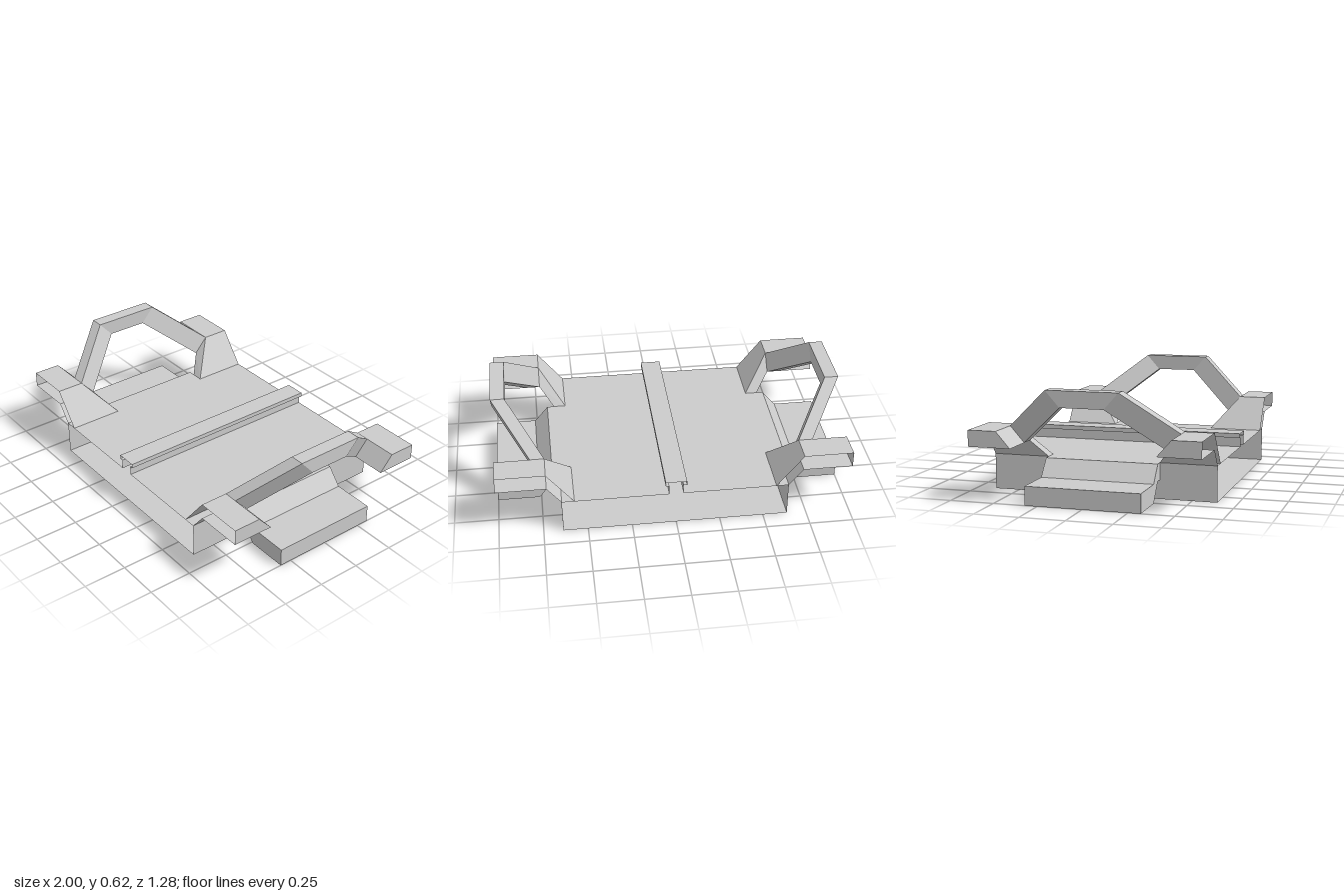
import * as THREE from 'three';

const sheet = new THREE.MeshStandardMaterial({ color: 0xcccccc, flatShading: true, side: THREE.DoubleSide });
const solid = new THREE.MeshStandardMaterial({ color: 0xcccccc, flatShading: true });

// Flat-shaded surface from four-cornered panels, mirrored by the signs sx and sz
function panels(name, quads, sx = 1, sz = 1) {
  const pos = [];
  for (const q of quads) {
    const order = sx * sz > 0 ? [0, 1, 2, 0, 2, 3] : [0, 2, 1, 0, 3, 2];
    for (const i of order) pos.push(q[i][0] * sx, q[i][1], q[i][2] * sz);
  }
  const geo = new THREE.BufferGeometry();
  geo.setAttribute('position', new THREE.Float32BufferAttribute(pos, 3));
  geo.computeVertexNormals();
  const mesh = new THREE.Mesh(geo, sheet);
  mesh.name = name;
  return mesh;
}

// Panels joining consecutive closed cross-sections, ends left open
function loft(rings) {
  const quads = [];
  for (let r = 0; r + 1 < rings.length; r++) {
    const a = rings[r], b = rings[r + 1], n = a.length;
    for (let i = 0; i < n; i++) {
      const j = (i + 1) % n;
      quads.push([a[i], b[i], b[j], a[j]]);
    }
  }
  return quads;
}

// Hollow tray with the raised centre rail, open at front and back
function makeTray() {
  const half = [[0.64, 0], [0.64, 0.2], [0.04, 0.2], [0.04, 0.255], [0.06, 0.255], [0.06, 0.28]];
  const profile = [...half, ...half.map(([x, y]) => [-x, y]).reverse()];
  const ring = z => profile.map(([x, y]) => [x, y, z]);
  return panels('deckTray', loft([ring(0.64), ring(-0.64)]));
}

// Raised guard bar on one side
function makeGuard(sx) {
  const ring = (x, top, bottom, zTop, zBottom) => [
    [x, top, zTop], [x + 0.08, top, zTop], [x + 0.08, bottom, zBottom], [x, bottom, zBottom],
  ];
  return panels('sideGuard', loft([
    ring(0.72, 0.39, 0.3, 0.48, 0.4),
    ring(0.92, 0.62, 0.53, 0.2, 0.12),
    ring(0.92, 0.62, 0.53, -0.2, -0.12),
    ring(0.72, 0.39, 0.3, -0.48, -0.4),
  ]), sx);
}

// Corner bracket rising from the deck into a level arm, open at its outer z end
function makeArm(sx, sz) {
  const top = (x, z) => [x, 0.39, z];
  const low = (x, z) => [x, 0.3, z];
  const foot = (x, z) => [x, 0.2, z];
  return panels('cornerArm', [
    // bracket: upper slope, lower slope, inner side
    [foot(0.57, 0.64), top(0.72, 0.64), top(0.72, 0.48), foot(0.57, 0.32)],
    [foot(0.64, 0.64), foot(0.64, 0.32), low(0.72, 0.4), low(0.72, 0.64)],
    [foot(0.57, 0.32), top(0.72, 0.48), low(0.72, 0.4), foot(0.64, 0.32)],
    // arm: top, underside, inner slope, end
    [top(0.72, 0.64), top(1, 0.64), top(1, 0.48), top(0.72, 0.48)],
    [low(0.72, 0.64), low(0.72, 0.4), low(1, 0.4), low(1, 0.64)],
    [top(0.8, 0.48), top(1, 0.48), low(1, 0.4), low(0.8, 0.4)],
    [top(1, 0.64), low(1, 0.64), low(1, 0.4), top(1, 0.48)],
  ], sx, sz);
}

// Stepped side board
function makeSideStep(sx) {
  const profile = [[0.64, 0.105], [0.68, 0.105], [0.76, 0], [1, 0], [1, 0.105], [0.76, 0.105], [0.68, 0.2], [0.64, 0.2]];
  const shape = new THREE.Shape(profile.map(([x, y]) => new THREE.Vector2(x * sx, y)));
  const geo = new THREE.ExtrudeGeometry(shape, { depth: 0.64, bevelEnabled: false });
  geo.translate(0, 0, -0.32);
  const mesh = new THREE.Mesh(geo, solid);
  mesh.name = 'sideStep';
  return mesh;
}

export function createModel() {
  const model = new THREE.Group();
  model.name = 'deckModule';
  model.add(makeTray());
  for (const sx of [1, -1]) {
    model.add(makeGuard(sx), makeSideStep(sx));
    for (const sz of [1, -1]) model.add(makeArm(sx, sz));
  }
  return model;
}
